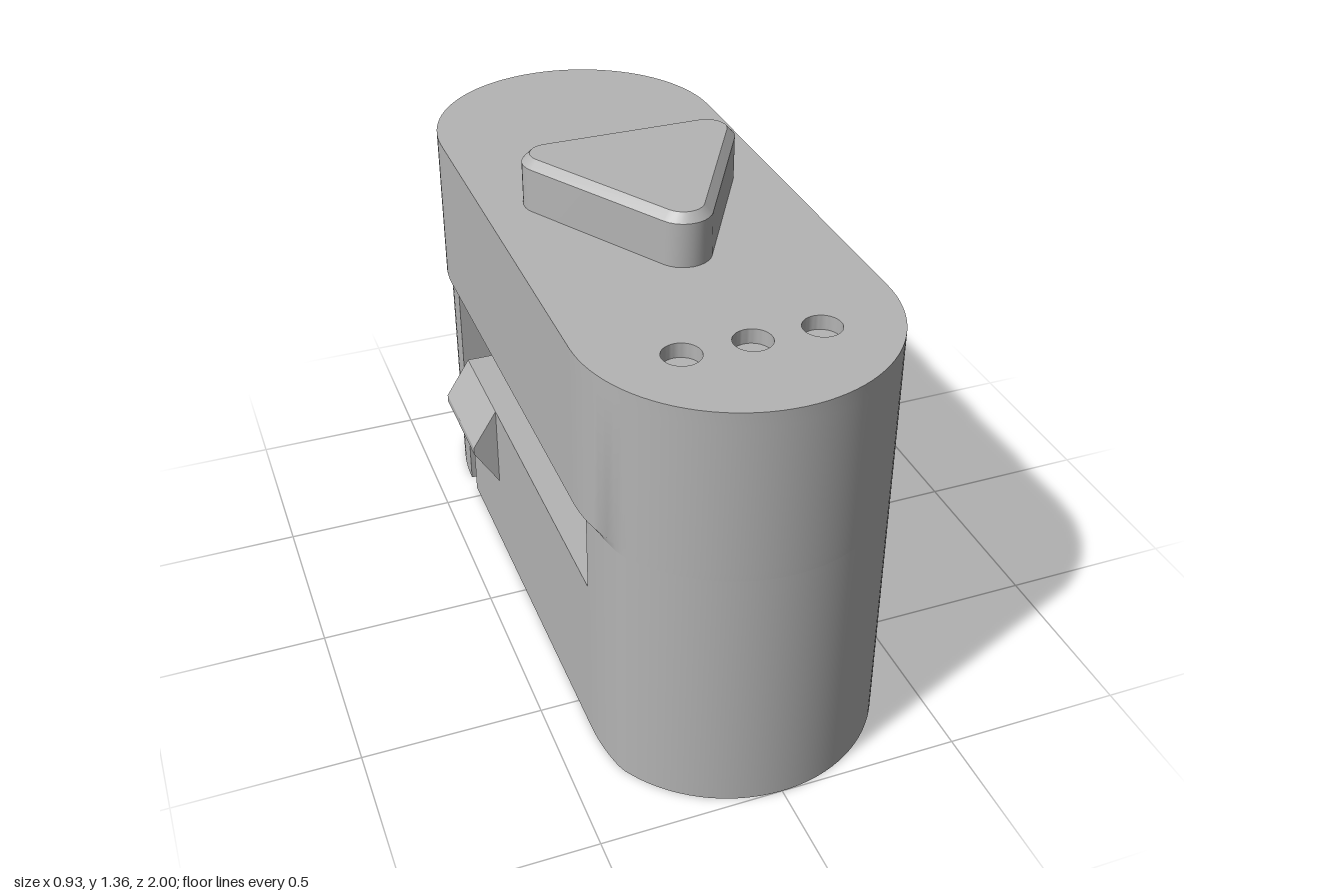
import * as THREE from 'three';
import { toCreasedNormals } from 'three/addons/utils/BufferGeometryUtils.js';

const R = 0.415, CZ = 0.585;      // end radius and arc centre of the upper body
const W = 0.39;                   // half width of the lower body
const Z1 = 0.605;                 // half length of the slotted middle
const LEDGE = 0.495, WEB = 0.1, ARM_IN = 0.3;

// Joins convex rings of [x, z] points, stacked at the given heights, and caps both ends.
function loft(rings, heights) {
  const pos = [];
  const n = rings[0].length;
  const v = (k, i) => [rings[k][i % n][0], heights[k], rings[k][i % n][1]];
  const last = rings.length - 1;
  for (let i = 0; i < n; i++) {
    for (let k = 0; k < last; k++) {
      const a = v(k, i), b = v(k, i + 1), c = v(k + 1, i), d = v(k + 1, i + 1);
      pos.push(...a, ...c, ...b, ...b, ...c, ...d);
    }
    if (i > 0 && i < n - 1) {
      pos.push(...v(0, 0), ...v(0, i), ...v(0, i + 1));
      pos.push(...v(last, 0), ...v(last, i + 1), ...v(last, i));
    }
  }
  const g = new THREE.BufferGeometry();
  g.setAttribute('position', new THREE.Float32BufferAttribute(pos, 3));
  return toCreasedNormals(g, 0.45);
}

// Rounded-end outline
function capsule(seg = 48) {
  const pts = [];
  for (const s of [0, 1]) {
    for (let i = 0; i <= seg; i++) {
      const a = (s + i / seg) * Math.PI;
      pts.push([R * Math.cos(a), (s ? -CZ : CZ) + R * Math.sin(a)]);
    }
  }
  return pts;
}

// Same outline with the sides pulled in, blending back to the round ends
function narrowed(pts) {
  return pts.map(([x, z]) => {
    const t = Math.max(0, (Math.abs(z) - 0.61) / 0.17);
    const limit = t > 1 ? R : W - 0.024 * t * t;
    return [Math.sign(x) * Math.min(Math.abs(x), limit), z];
  });
}

// Rounded triangle pointing to +z
function triangle(r, seg = 10) {
  const pts = [];
  const corners = [[0.225, -0.135, -90], [0, 0.255, 30], [-0.225, -0.135, 150]];
  for (const [cx, cz, start] of corners) {
    for (let i = 0; i <= seg; i++) {
      const a = THREE.MathUtils.degToRad(start + (120 * i) / seg);
      pts.push([cx + r * Math.cos(a), cz + r * Math.sin(a)]);
    }
  }
  return pts;
}

// Extrudes an x-y section from z0 to z1
function section(points, z0, z1) {
  const shape = new THREE.Shape(points.map(([x, y]) => new THREE.Vector2(x, y)));
  const g = new THREE.ExtrudeGeometry(shape, { depth: z1 - z0, bevelEnabled: false });
  return g.translate(0, 0, z0);
}

export function createModel() {
  const model = new THREE.Group();
  model.name = 'latchHousing';
  const grey = new THREE.MeshStandardMaterial({ color: 0xb4b4b4 });
  grey.name = 'plain grey';
  const add = (name, geometry) => {
    const mesh = new THREE.Mesh(geometry, grey);
    mesh.name = name;
    model.add(mesh);
    return mesh;
  };

  // Upper body with its chamfered underside
  const upper = capsule();
  const lower = narrowed(upper);
  add('upperBody', loft([lower, upper, upper], [0.73, 0.755, 1.17]));

  // Top plate with three round recesses
  const plate = new THREE.Shape(upper.map(([x, z]) => new THREE.Vector2(x, z)));
  for (const x of [-0.18, 0, 0.18]) {
    const hole = new THREE.Path();
    hole.absarc(x, 0.705, 0.05, 0, Math.PI * 2, true);
    plate.holes.push(hole);
  }
  const plateGeo = new THREE.ExtrudeGeometry(plate, { depth: 0.04, bevelEnabled: false, curveSegments: 24 });
  add('topPlate', toCreasedNormals(plateGeo.rotateX(Math.PI / 2).translate(0, 1.21, 0), 0.45));

  // Raised triangular button
  add('button', loft([triangle(0.077), triangle(0.077), triangle(0.055)], [1.2, 1.333, 1.356]));

  // Solid round ends of the lower body
  const front = [[W, Z1], ...lower.filter(([, z]) => z > Z1 + 0.002), [-W, Z1]];
  add('frontEnd', loft([front, front], [0, 0.73]));
  const back = front.map(([x, z]) => [-x, -z]);
  add('backEnd', loft([back, back], [0, 0.73]));

  // Central web flaring at 45 degrees up to the upper body
  const flareY = 0.73 - (W - WEB);
  add('centreWeb', section([
    [-WEB, 0], [WEB, 0], [WEB, flareY], [W, 0.73], [-W, 0.73], [-WEB, flareY],
  ], -Z1, Z1));

  for (const s of [1, -1]) {
    const side = s > 0 ? 'left' : 'right';
    const mirror = (pts) => pts.map(([x, y]) => [s * x, y]);

    // Springy side arm, free at the back
    add(side + 'Arm', section(mirror([[ARM_IN, 0], [W, 0], [W, LEDGE], [ARM_IN, LEDGE]]), -0.545, Z1));

    // Wedge-shaped catch on the arm
    add(side + 'Catch', section(mirror([
      [W - 0.02, 0.24], [W, 0.24], [0.463, 0.358], [0.463, 0.38], [W, LEDGE], [W - 0.02, LEDGE],
    ]), -0.545, -0.24));

    // Rounded corners at the closed end of the slot
    const r = 0.06;
    for (const [x, d] of [[WEB, 1], [ARM_IN, -1]]) {
      const fillet = new THREE.Shape();
      fillet.moveTo(s * x, Z1);
      fillet.lineTo(s * x, Z1 - r);
      fillet.quadraticCurveTo(s * (x + d * r * 0.15), Z1 - r * 0.15, s * (x + d * r), Z1);
      const g = new THREE.ExtrudeGeometry(fillet, { depth: LEDGE, bevelEnabled: false, curveSegments: 8 });
      add(side + 'SlotFillet', toCreasedNormals(g.rotateX(Math.PI / 2).translate(0, LEDGE, 0), 0.45));
    }
  }
  return model;
}
